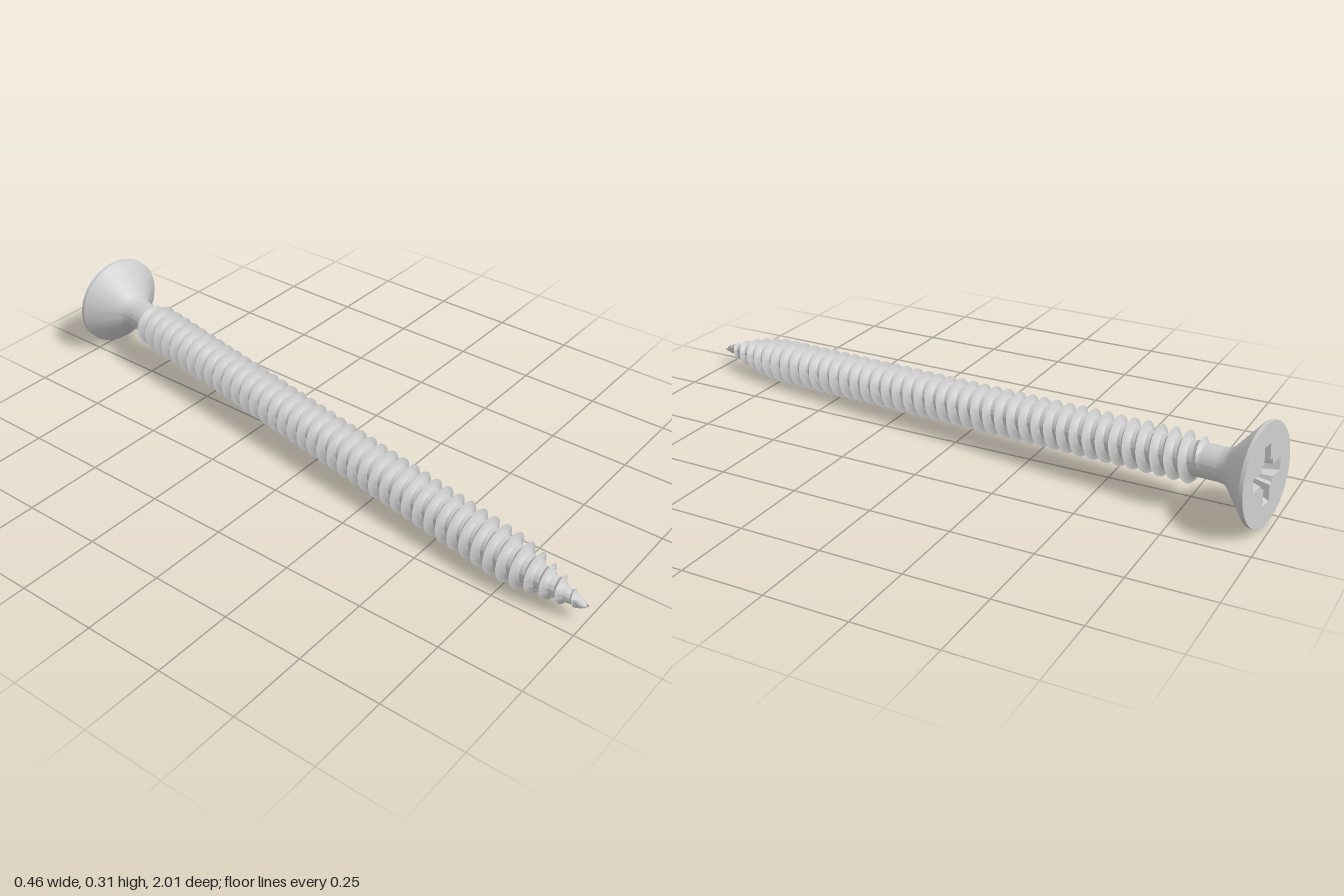
import * as THREE from 'three';
import { toCreasedNormals } from 'three/addons/utils/BufferGeometryUtils.js';

const LENGTH = 2.0;      // tip at local y = 0, head face at y = LENGTH
const HEAD_R = 0.148;
const CORE_R = 0.049;

// Linear interpolation through [position, value] pairs
function sample(table, t) {
  for (let i = 1; i < table.length; i++) {
    const [a, va] = table[i - 1], [b, vb] = table[i];
    if (t <= b) return va + (vb - va) * Math.max(0, (t - a) / (b - a));
  }
  return table[table.length - 1][1];
}
const CORE = [[0, 0.003], [0.012, 0.011], [0.1, 0.028], [0.2, 0.043], [0.28, CORE_R], [2, CORE_R]];
const CREST = [[0, 0.004], [0.02, 0.016], [0.1, 0.044], [0.2, 0.066], [0.27, 0.073],
  [1.795, 0.073], [1.82, CORE_R]];

function meshOf(name, geometry, material) {
  const mesh = new THREE.Mesh(geometry, material);
  mesh.name = name;
  return mesh;
}

function lathe(points) {
  const profile = points.map(([r, y]) => new THREE.Vector2(r, y));
  return toCreasedNormals(new THREE.LatheGeometry(profile, 48), 0.5);
}

// Right-handed thread: a concave-sided tooth swept along a helix
function threadGeometry() {
  const pitch = 0.043, steps = 32, start = 0.012, end = 1.82;
  const tooth = [[-0.016, 0], [-0.005, 0.4], [0, 1], [0.005, 0.4], [0.016, 0]];
  const count = Math.round((end - start) / pitch * steps);
  const pos = [], index = [], n = tooth.length;
  for (let i = 0; i <= count; i++) {
    const angle = i / steps * Math.PI * 2;
    const y = start + i / steps * pitch;
    const core = sample(CORE, y) - 0.001;
    const height = Math.max(0, sample(CREST, y) - core);
    for (const [dy, h] of tooth) {
      const r = core + height * h;
      pos.push(r * Math.cos(angle), y + dy, -r * Math.sin(angle));
    }
    if (i === count) break;
    for (let j = 0; j < n - 1; j++) {
      const a = i * n + j, b = a + n;
      index.push(a, b, a + 1, b, b + 1, a + 1);
    }
  }
  const g = new THREE.BufferGeometry();
  g.setAttribute('position', new THREE.Float32BufferAttribute(pos, 3));
  g.setIndex(index);
  return toCreasedNormals(g, 1.0);
}

// Cross outline with stepped inner corners, counter-clockwise
function crossOutline(reach, half, inner) {
  const pts = [];
  for (let k = 0; k < 4; k++) {
    const quarter = [[reach, -half], [reach, half], [inner, half],
      [inner * 0.92, inner * 0.92], [half, inner]];
    for (const [x, y] of quarter) {
      pts.push(new THREE.Vector2(x, y).rotateAround(new THREE.Vector2(), k * Math.PI / 2));
    }
  }
  return pts;
}

// Tapering walls and pointed floor of the driver recess
function recessGeometry(top, bottom, depth, apexDepth) {
  const pos = [], n = top.length;
  const put = (p, z) => pos.push(p.x, p.y, z);
  for (let i = 0; i < n; i++) {
    const j = (i + 1) % n;
    put(top[i], 0); put(top[j], 0); put(bottom[j], -depth);
    put(top[i], 0); put(bottom[j], -depth); put(bottom[i], -depth);
    put(bottom[i], -depth); put(bottom[j], -depth); pos.push(0, 0, -apexDepth);
  }
  const g = new THREE.BufferGeometry();
  g.setAttribute('position', new THREE.Float32BufferAttribute(pos, 3));
  g.computeVertexNormals();
  return g;
}

export function createModel() {
  const group = new THREE.Group();
  group.name = 'screw';
  const grey = new THREE.MeshStandardMaterial({ color: 0xcccccc });
  const thin = new THREE.MeshStandardMaterial({ color: 0xcccccc, side: THREE.DoubleSide });
  const screw = new THREE.Group();
  screw.name = 'screwBody';

  // Shank with tapered tip
  screw.add(meshOf('shank', lathe([[0, 0], ...CORE.slice(0, 5).map(([y, r]) => [r, y]),
    [CORE_R, 1.89]]), grey));
  screw.add(meshOf('thread', threadGeometry(), thin));

  // Countersunk head
  screw.add(meshOf('head', lathe([[CORE_R, 1.875], [0.052, 1.893], [0.062, 1.908],
    [0.145, 1.984], [HEAD_R, 1.989], [HEAD_R, LENGTH]]), grey));

  // Flat face with the cross recess cut in
  const rim = crossOutline(0.085, 0.019, 0.037);
  const floor = crossOutline(0.04, 0.011, 0.017);
  const disc = new THREE.Shape().absarc(0, 0, HEAD_R, 0, Math.PI * 2);
  disc.holes.push(new THREE.Path(rim));
  const parts = {
    headFace: new THREE.ShapeGeometry(disc, 48),
    driverRecess: recessGeometry(rim, floor, 0.075, 0.095),
  };
  for (const [name, g] of Object.entries(parts)) {
    g.rotateX(-Math.PI / 2).translate(0, LENGTH, 0);
    screw.add(meshOf(name, g, grey));
  }

  // Lay the screw along its slanted axis, tip to the front
  const tip = new THREE.Vector3(-0.195, 0.062, 1.0);
  const axis = new THREE.Vector3(0.085, 0.162, -0.979).sub(tip).normalize();
  const side = new THREE.Vector3(1, 0, 0).addScaledVector(axis, -axis.x).normalize();
  const up = new THREE.Vector3().crossVectors(side, axis);
  screw.quaternion.setFromRotationMatrix(new THREE.Matrix4().makeBasis(side, axis, up));
  screw.position.copy(tip);
  group.add(screw);
  return group;
}
